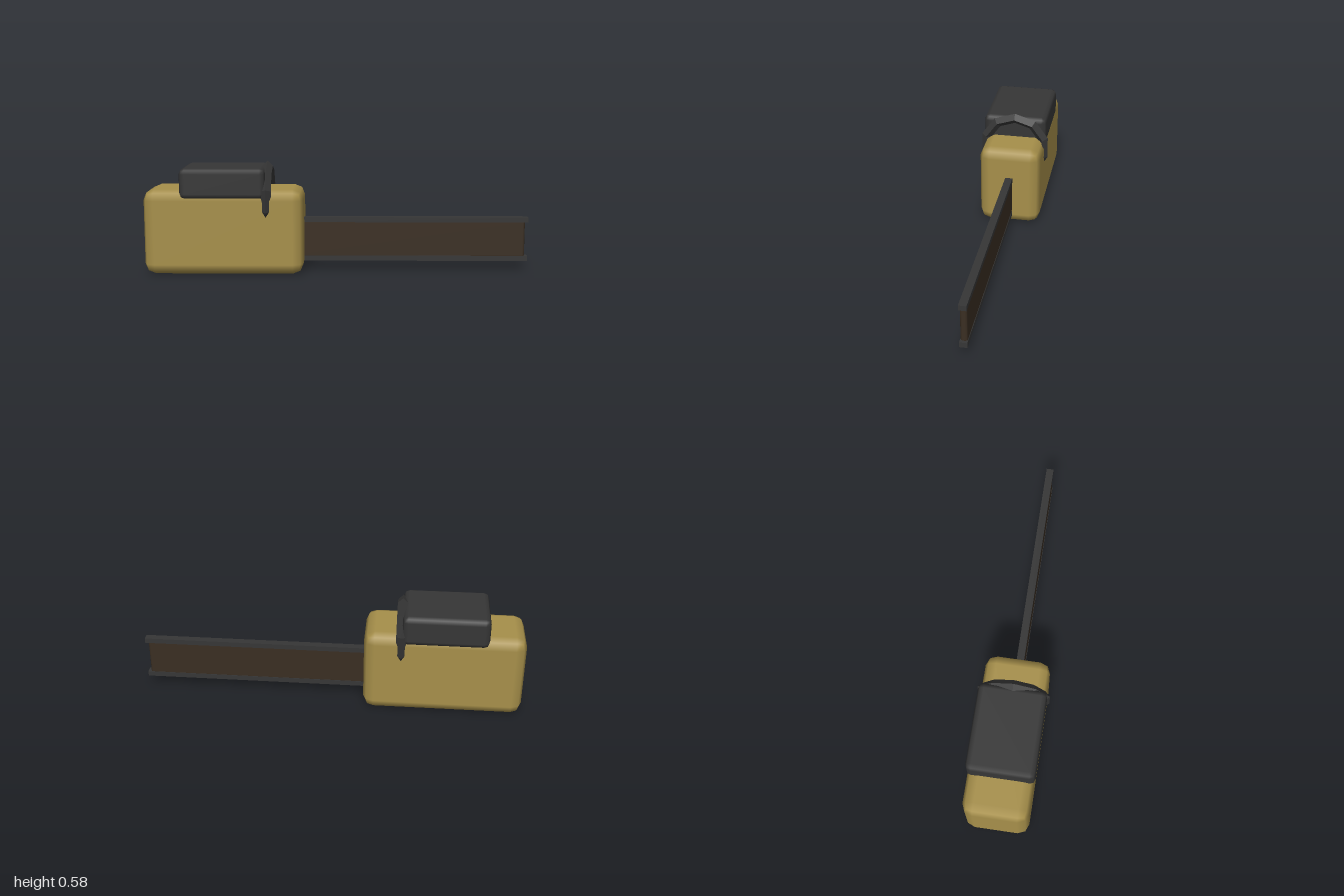
import * as THREE from 'three';
import { RoundedBoxGeometry } from 'three/addons/geometries/RoundedBoxGeometry.js';

export function createModel() {
  const ochre = new THREE.MeshStandardMaterial({ color: 0xa68f4a });
  ochre.name = 'ochre';
  const charcoal = new THREE.MeshStandardMaterial({ color: 0x363636 });
  charcoal.name = 'charcoal';
  const darkBrown = new THREE.MeshStandardMaterial({ color: 0x3a2e22 });
  darkBrown.name = 'dark brown';

  const model = new THREE.Group();
  model.name = 'chainsaw';

  const add = (name, geometry, material, x, y) => {
    const mesh = new THREE.Mesh(geometry, material);
    mesh.name = name;
    mesh.position.set(x, y, 0);
    model.add(mesh);
    return mesh;
  };

  // Box given by its x and y limits and its depth, with optional rounded edges
  const block = (name, material, x0, x1, y0, y1, depth, radius = 0) => {
    const w = x1 - x0, h = y1 - y0;
    const geometry = radius
      ? new RoundedBoxGeometry(w, h, depth, 1, radius)
      : new THREE.BoxGeometry(w, h, depth);
    return add(name, geometry, material, (x0 + x1) / 2, (y0 + y1) / 2);
  };

  // Housing and engine cover
  block('body', ochre, -1, -0.176, 0, 0.442, 0.331, 0.055);
  block('engineCover', charcoal, -0.81, -0.37, 0.395, 0.553, 0.342, 0.028);

  // Faceted handle ring, wrapped around the body with a diamond section
  const ring = new THREE.TorusGeometry(0.165, 0.0275, 4, 10).toNonIndexed();
  ring.rotateZ(Math.PI / 2); // a corner points up
  ring.rotateY(Math.PI / 2);
  ring.computeVertexNormals();
  add('handle', ring, charcoal, -0.367, 0.387);

  // Guide bar with a chain rail along each edge
  block('guideBar', darkBrown, -0.24, 0.985, 0.067, 0.267, 0.035, 0.012);
  block('upperChainRail', charcoal, -0.24, 1, 0.256, 0.283, 0.039);
  block('lowerChainRail', charcoal, -0.24, 1, 0.05, 0.077, 0.039);

  return model;
}
